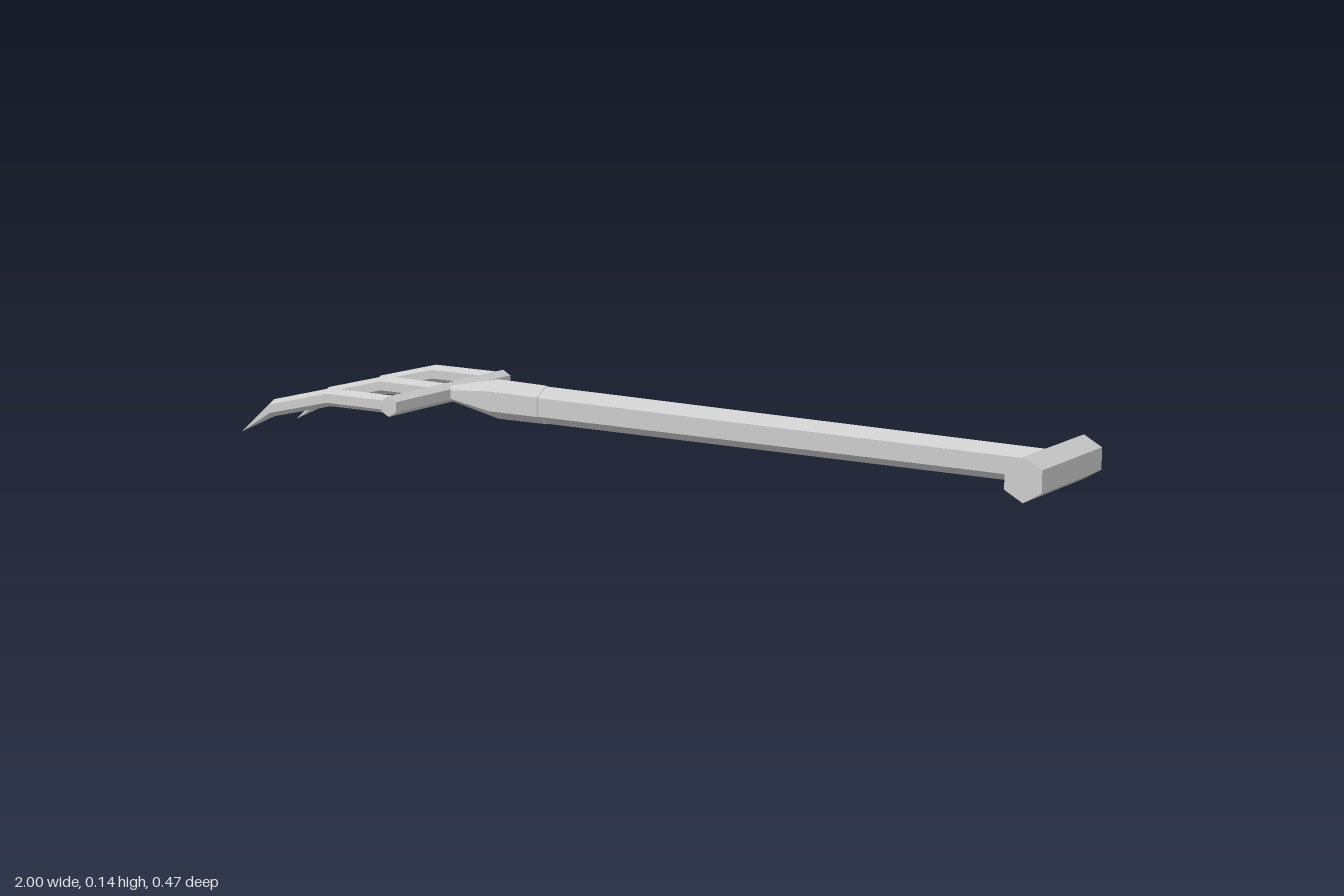
import * as THREE from 'three';

const material = new THREE.MeshStandardMaterial({ color: 0xcccccc, flatShading: true });
const SIDES = 6;

// Hexagonal loft along +x through [x, y, radius] sections, corner upward, capped at both ends.
function hexLoft(name, sections) {
  const first = sections[0], last = sections[sections.length - 1];
  const rings = [[first[0], first[1], 0], ...sections, [last[0], last[1], 0]];
  const corner = ([x, y, r], k) => {
    const a = (k / SIDES) * Math.PI * 2;
    return [x, y + r * Math.cos(a), r * Math.sin(a)];
  };
  const positions = [];
  for (let i = 0; i < rings.length - 1; i++) {
    const p = rings[i], q = rings[i + 1];
    for (let k = 0; k < SIDES; k++) {
      const a = corner(p, k), b = corner(p, k + 1), c = corner(q, k + 1), d = corner(q, k);
      if (p[2] > 0) positions.push(...a, ...b, ...c);
      if (q[2] > 0) positions.push(...a, ...c, ...d);
    }
  }
  const geometry = new THREE.BufferGeometry();
  geometry.setAttribute('position', new THREE.Float32BufferAttribute(positions, 3));
  geometry.computeVertexNormals();
  const mesh = new THREE.Mesh(geometry, material);
  mesh.name = name;
  return mesh;
}

// Hexagonal bar lying across the tool along z, corner upward.
function crossBar(name, x, y, radius, length) {
  const geometry = new THREE.CylinderGeometry(radius, radius, length, SIDES);
  geometry.rotateX(Math.PI / 2);
  const mesh = new THREE.Mesh(geometry, material);
  mesh.name = name;
  mesh.position.set(x, y, 0);
  return mesh;
}

export function createModel() {
  const model = new THREE.Group();
  model.name = 'gardenFork';

  // Long shaft, sloping gently down to the grip
  model.add(hexLoft('shaft', [[-0.3, 0.094, 0.043], [0.945, 0.067, 0.038]]));

  // Socket narrowing into the fork head
  model.add(hexLoft('socket', [[-0.555, 0.1, 0.017], [-0.42, 0.097, 0.046], [-0.29, 0.094, 0.0445]]));

  // Grip at the rear end and bar carrying the tines
  model.add(crossBar('grip', 0.958, 0.066, 0.048, 0.31));
  model.add(crossBar('tineBar', -0.562, 0.1, 0.0235, 0.466));

  // Three curved, pointed tines
  const tines = new THREE.Group();
  tines.name = 'tines';
  for (const z of [-0.21, 0, 0.21]) {
    const tine = hexLoft('tine', [
      [-1, 0.002, 0.0005],
      [-0.903, 0.066, 0.02],
      [-0.74, 0.104, 0.021],
      [-0.56, 0.101, 0.021],
    ]);
    tine.position.z = z;
    tines.add(tine);
  }
  model.add(tines);
  return model;
}
